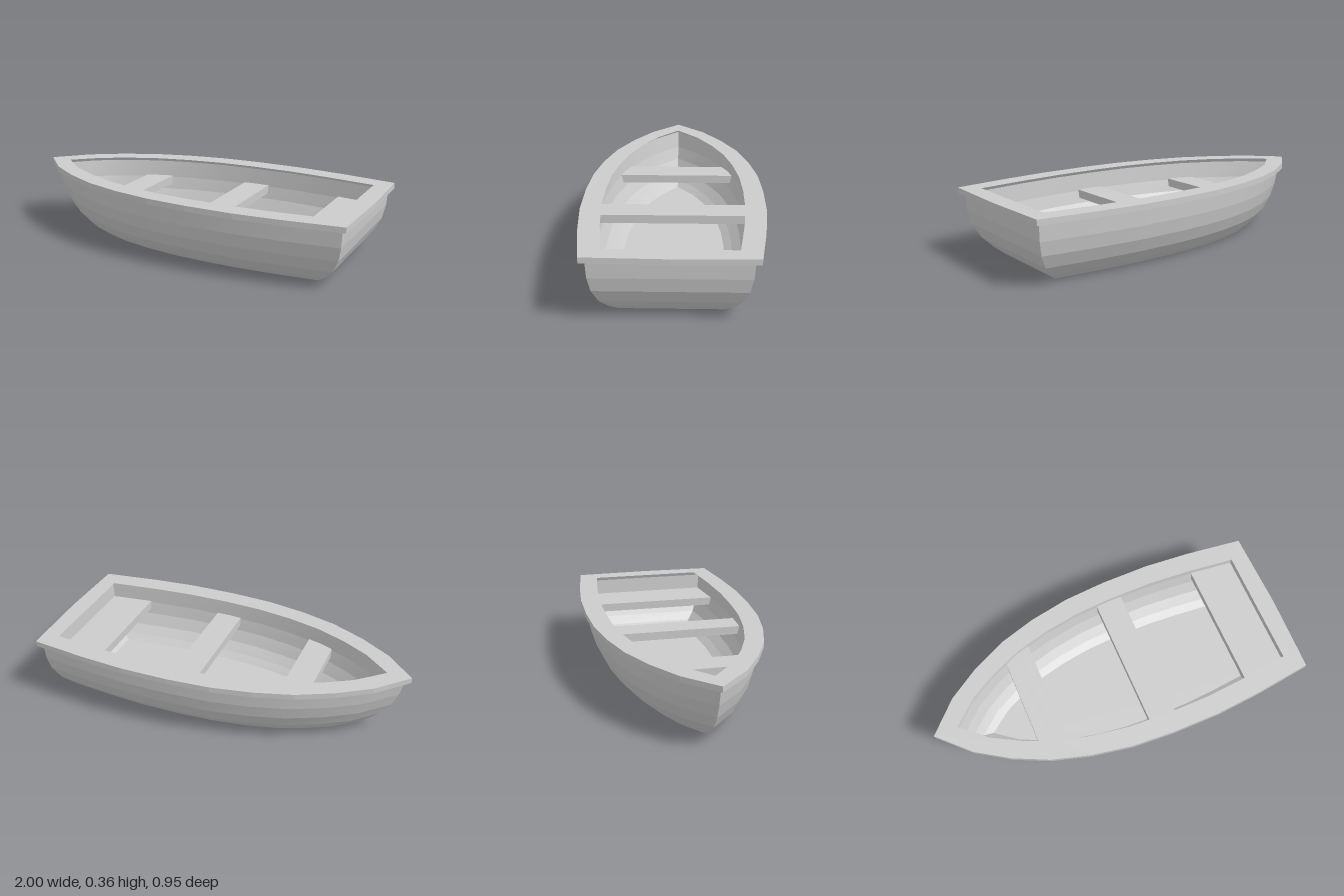
import * as THREE from 'three';
import { mergeGeometries } from 'three/addons/utils/BufferGeometryUtils.js';

// Plan curve shared by every waterline: [fraction bow to stern, fraction of half width]
const PLAN = [[0, 0], [0.08, 0.337], [0.166, 0.57], [0.26, 0.758], [0.362, 0.884],
  [0.472, 0.968], [0.588, 1], [0.72, 1], [0.844, 0.958], [1, 0.874]];

// Waterlines: y, bow x, stern x, half width
const OUTER = [
  [0, -0.74, 0.81, 0.29], [0.036, -0.79, 0.855, 0.335], [0.092, -0.86, 0.908, 0.385],
  [0.165, -0.912, 0.945, 0.421], [0.24, -0.945, 0.96, 0.438], [0.335, -0.97, 0.965, 0.445],
];
const INNER = [
  [0.03, -0.71, 0.785, 0.27], [0.06, -0.765, 0.83, 0.31], [0.105, -0.82, 0.873, 0.355],
  [0.17, -0.868, 0.908, 0.389], [0.24, -0.9, 0.924, 0.405], [0.335, -0.925, 0.93, 0.412],
];

// One side of a waterline, bow to stern
function side([, bow, stern, half], sign) {
  return PLAN.map(([u, w]) => [bow + u * (stern - bow), sign * w * half]);
}

// Closed plan outline of a waterline
function outline(level, bulge = 0) {
  const port = side(level, 1);
  const starboard = side(level, -1).slice(1).reverse();
  return [...port, [level[2] + bulge, 0], ...starboard].map(([x, z]) => new THREE.Vector2(x, z));
}

// A plank between two equal rows of points, smooth along its length
function strip(low, high, y0, y1) {
  const pos = [], index = [];
  low.forEach(([x, z], i) => {
    pos.push(x, y0, z, high[i][0], y1, high[i][1]);
    if (i) {
      const a = 2 * (i - 1);
      index.push(a, a + 2, a + 3, a, a + 3, a + 1);
    }
  });
  const g = new THREE.BufferGeometry();
  g.setAttribute('position', new THREE.Float32BufferAttribute(pos, 3));
  g.setIndex(index);
  g.computeVertexNormals();
  return g;
}

// Starboard side, port side and transom planks for a stack of waterlines
function shell(levels, inward) {
  const runs = [
    l => side(l, -1).reverse(),
    l => side(l, 1),
    l => [side(l, 1).at(-1), side(l, -1).at(-1)],
  ];
  const planks = [];
  for (let k = 0; k + 1 < levels.length; k++) {
    for (const run of runs) {
      const low = run(levels[k]), high = run(levels[k + 1]);
      if (inward) { low.reverse(); high.reverse(); }
      planks.push(strip(low, high, levels[k][0], levels[k + 1][0]));
    }
  }
  return mergeGeometries(planks);
}

// Flat slab with a plan outline, lying between two heights
function slab(shape, y0, y1) {
  const g = new THREE.ExtrudeGeometry(shape, { depth: y1 - y0, bevelEnabled: false });
  return g.rotateX(-Math.PI / 2).translate(0, y0, 0);
}

// Half width of a waterline at a given x
function halfWidthAt([, bow, stern, half], x) {
  const u = THREE.MathUtils.clamp((x - bow) / (stern - bow), 0, 1);
  const i = Math.max(1, PLAN.findIndex(p => p[0] >= u));
  const [a, b] = [PLAN[i - 1], PLAN[i]];
  return half * THREE.MathUtils.mapLinear(u, a[0], b[0], a[1], b[1]);
}

export function createModel() {
  const boat = new THREE.Group();
  boat.name = 'rowingBoat';
  const material = new THREE.MeshStandardMaterial({ color: 0xcccccc });
  const add = (name, geometry) => {
    const mesh = new THREE.Mesh(geometry, material);
    mesh.name = name;
    boat.add(mesh);
  };

  // Hull skins
  add('hullOutside', shell(OUTER, false));
  add('hullInside', shell(INNER, true));

  // Flat bottom and inner floor
  const flat = level => new THREE.ShapeGeometry(new THREE.Shape(outline(level)));
  add('bottom', flat(OUTER[0]).rotateX(Math.PI / 2));
  add('floor', flat(INNER[0]).rotateX(-Math.PI / 2).translate(0, INNER[0][0], 0));

  // Gunwale rim overhanging both skins
  const rim = new THREE.Shape(outline([0, -1, 0.99, 0.475], 0.01));
  rim.holes.push(new THREE.Path(outline([0, -0.87, 0.9, 0.368])));
  add('gunwale', slab(rim, 0.33, 0.36));

  // Bench seats, their ends following the hull and let into it
  const seatLine = [0, -0.92, 0.945, 0.418];
  const seats = { bowSeat: [-0.5, -0.35], middleSeat: [0.1, 0.25], sternSeat: [0.685, 0.94] };
  for (const [name, [x0, x1]] of Object.entries(seats)) {
    const edge = [0, 0.25, 0.5, 0.75, 1].map(t => {
      const x = THREE.MathUtils.lerp(x0, x1, t);
      return new THREE.Vector2(x, halfWidthAt(seatLine, x));
    });
    const mirror = edge.map(p => new THREE.Vector2(p.x, -p.y)).reverse();
    add(name, slab(new THREE.Shape([...edge, ...mirror]), 0.2, 0.247));
  }
  return boat;
}
